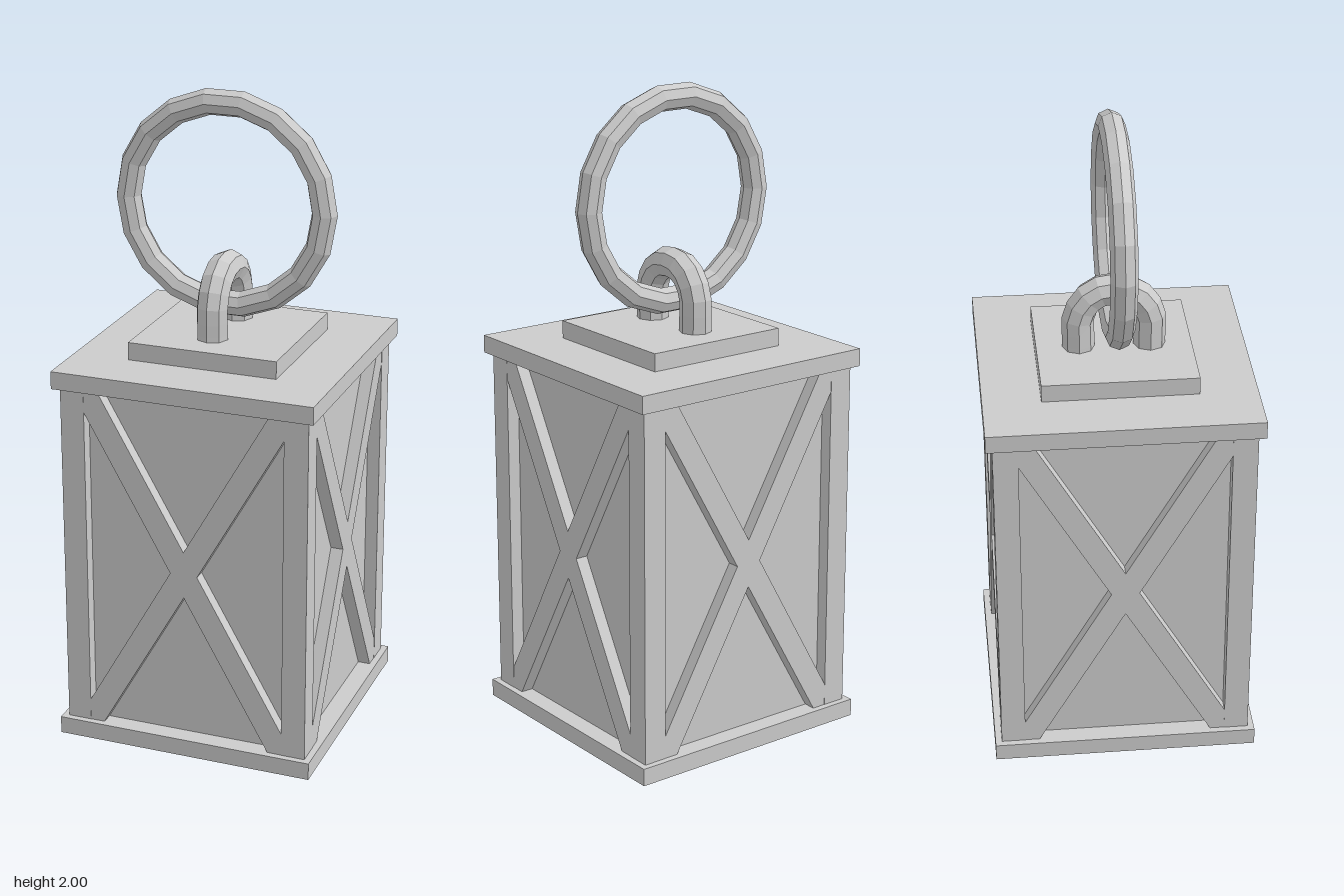
import * as THREE from 'three';

export function createModel() {
  const model = new THREE.Group();
  model.name = 'lantern';
  const material = new THREE.MeshStandardMaterial({ color: 0xcccccc, flatShading: true });

  const add = (name, geometry, x = 0, y = 0, z = 0) => {
    const mesh = new THREE.Mesh(geometry, material);
    mesh.name = name;
    mesh.position.set(x, y, z);
    model.add(mesh);
    return mesh;
  };
  // Box given by its bottom and top heights
  const slab = (name, width, bottom, top, x = 0, z = 0) =>
    add(name, new THREE.BoxGeometry(width, top - bottom, width), x, (bottom + top) / 2, z);

  // Stacked plates and recessed body
  const low = 0.055, high = 1.155, mid = (low + high) / 2;
  slab('basePlate', 0.82, 0, low);
  slab('body', 0.7, low, high);
  slab('roofPlate', 0.82, high, 1.21);
  slab('roofCap', 0.47, 1.21, 1.265);

  // Corner posts
  for (const sx of [-1, 1])
    for (const sz of [-1, 1]) slab('cornerPost', 0.075, low, high, sx * 0.3525, sz * 0.3525);

  // Cross brace on each side, flush with the posts
  const h = (high - low) / 2;
  const outline = [
    [0, 0.075], [0.27, h], [0.315, h], [0.315, h - 0.07], [0.043, 0], [0.315, 0.07 - h],
    [0.315, -h], [0.27, -h], [0, -0.075], [-0.27, -h], [-0.315, -h], [-0.315, 0.07 - h],
    [-0.043, 0], [-0.315, h - 0.07], [-0.315, h], [-0.27, h],
  ].map(([x, y]) => new THREE.Vector2(x, y));
  const brace = new THREE.ExtrudeGeometry(new THREE.Shape(outline), { depth: 0.045, bevelEnabled: false });
  brace.translate(0, 0, 0.344);
  for (let i = 0; i < 4; i++) add('crossBrace', brace, 0, mid, 0).rotation.y = (i * Math.PI) / 2;

  // Shackle standing on the cap
  const arch = [
    [0.107, 1.24], [0.107, 1.3], [0.107, 1.365], [0.083, 1.418], [0.04, 1.45],
    [-0.04, 1.45], [-0.083, 1.418], [-0.107, 1.365], [-0.107, 1.3], [-0.107, 1.24],
  ].map(([z, y]) => new THREE.Vector3(0, y, z));
  const path = new THREE.CatmullRomCurve3(arch);
  add('shackle', new THREE.TubeGeometry(path, 14, 0.049, 8), -0.014);

  // Carrying ring
  add('carryingRing', new THREE.TorusGeometry(0.312, 0.04, 8, 18), -0.013, 1.652);

  return model;
}
